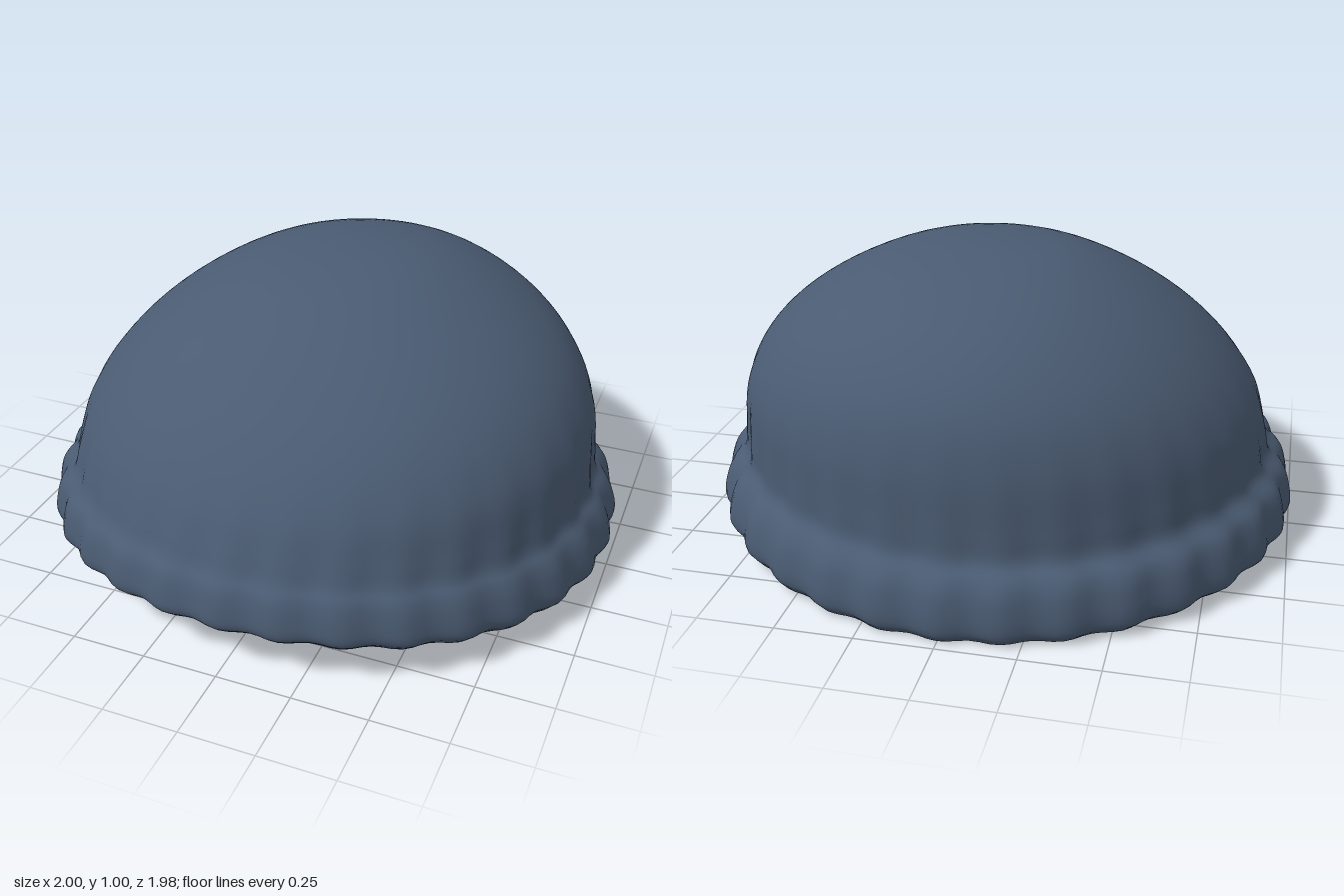
import * as THREE from 'three';

// Profiles from the crown's tip down to the rim, as [distance along axis, height]
const LEFT = [[.05, 1], [.2, .99], [.36, .955], [.56, .865], [.72, .755], [.82, .645], [.885, .51],
  [.905, .36], [.915, .28], [.95, .24], [.975, .19], [.99, .1], [.95, .045]];
const RIGHT = [[.05, 1], [-.1, .99], [-.27, .96], [-.47, .87], [-.65, .745], [-.78, .61], [-.86, .48],
  [-.895, .35], [-.91, .27], [-.96, .22], [-.98, .17], [-.99, .07], [-.95, .035]];
const FRONT = [[-.1, 1], [.05, .99], [.25, .95], [.47, .85], [.65, .725], [.77, .61], [.85, .5],
  [.895, .41], [.925, .345], [.955, .31], [.975, .25], [.98, .19], [.95, .155]];
const BACK = [[-.1, 1], [-.25, .99], [-.45, .95], [-.63, .875], [-.76, .77], [-.84, .65], [-.88, .5],
  [-.89, .33], [-.9, .24], [-.94, .2], [-.965, .15], [-.975, .04], [-.95, .005]];

const SEGMENTS = 192, ROWS = 52, RIBS = 32, THICKNESS = .045;

const curve = (pts) => new THREE.CatmullRomCurve3(pts.map(([d, y]) => new THREE.Vector3(d, y, 0)));

function knitShell() {
  const [left, right, front, back] = [LEFT, RIGHT, FRONT, BACK].map(curve);
  const positions = [], index = [];

  // One closed loop around the cap; inset shrinks it for the lining
  function addLoop(t, inset) {
    const l = left.getPoint(t), r = right.getPoint(t), f = front.getPoint(t), b = back.getPoint(t);
    const cx = (l.x + r.x) / 2, cz = (f.x + b.x) / 2;
    const rx = (l.x - r.x) / 2, rz = (f.x - b.x) / 2;
    const shrink = 1 - inset / .95;
    const drop = inset * (1 - THREE.MathUtils.smoothstep(t, .3, .75));
    const ribDepth = .009 * THREE.MathUtils.smoothstep(t, .35, .85);
    for (let i = 0; i < SEGMENTS; i++) {
      const a = i / SEGMENTS * Math.PI * 2, c = Math.cos(a), s = Math.sin(a);
      const rib = ribDepth * Math.cos(a * RIBS);
      const y = c * c * (c > 0 ? l.y : r.y) + s * s * (s > 0 ? f.y : b.y);
      positions.push(cx + (rx * shrink + rib) * c, y - drop, cz + (rz * shrink + rib) * s);
    }
  }

  // Outside from tip to rim, then the lining from rim back to tip
  for (let j = 0; j <= ROWS; j++) addLoop(.004 + .996 * j / ROWS, 0);
  for (let j = ROWS; j >= 0; j--) addLoop(.004 + .996 * j / ROWS, j === ROWS ? .02 : THICKNESS);

  const loops = 2 * (ROWS + 1);
  for (let j = 0; j < loops - 1; j++) {
    for (let i = 0; i < SEGMENTS; i++) {
      const n = (i + 1) % SEGMENTS;
      const a = j * SEGMENTS + i, b = j * SEGMENTS + n;
      const c = a + SEGMENTS, d = b + SEGMENTS;
      index.push(a, b, c, b, d, c);
    }
  }

  // Close the tip, outside and inside
  const top = positions.length / 3, last = (loops - 1) * SEGMENTS;
  positions.push(.05, 1, -.1, .05, 1 - THICKNESS, -.1);
  for (let i = 0; i < SEGMENTS; i++) {
    const n = (i + 1) % SEGMENTS;
    index.push(top, n, i, top + 1, last + i, last + n);
  }

  const geometry = new THREE.BufferGeometry();
  geometry.setAttribute('position', new THREE.Float32BufferAttribute(positions, 3));
  geometry.setIndex(index);
  geometry.computeVertexNormals();
  return geometry;
}

export function createModel() {
  const wool = new THREE.MeshStandardMaterial({ color: 0x4a5b72 });
  wool.name = 'slate blue wool';

  const cap = new THREE.Mesh(knitShell(), wool);
  cap.name = 'knitCapWithCuff';

  const group = new THREE.Group();
  group.name = 'knitCap';
  group.add(cap);
  return group;
}
